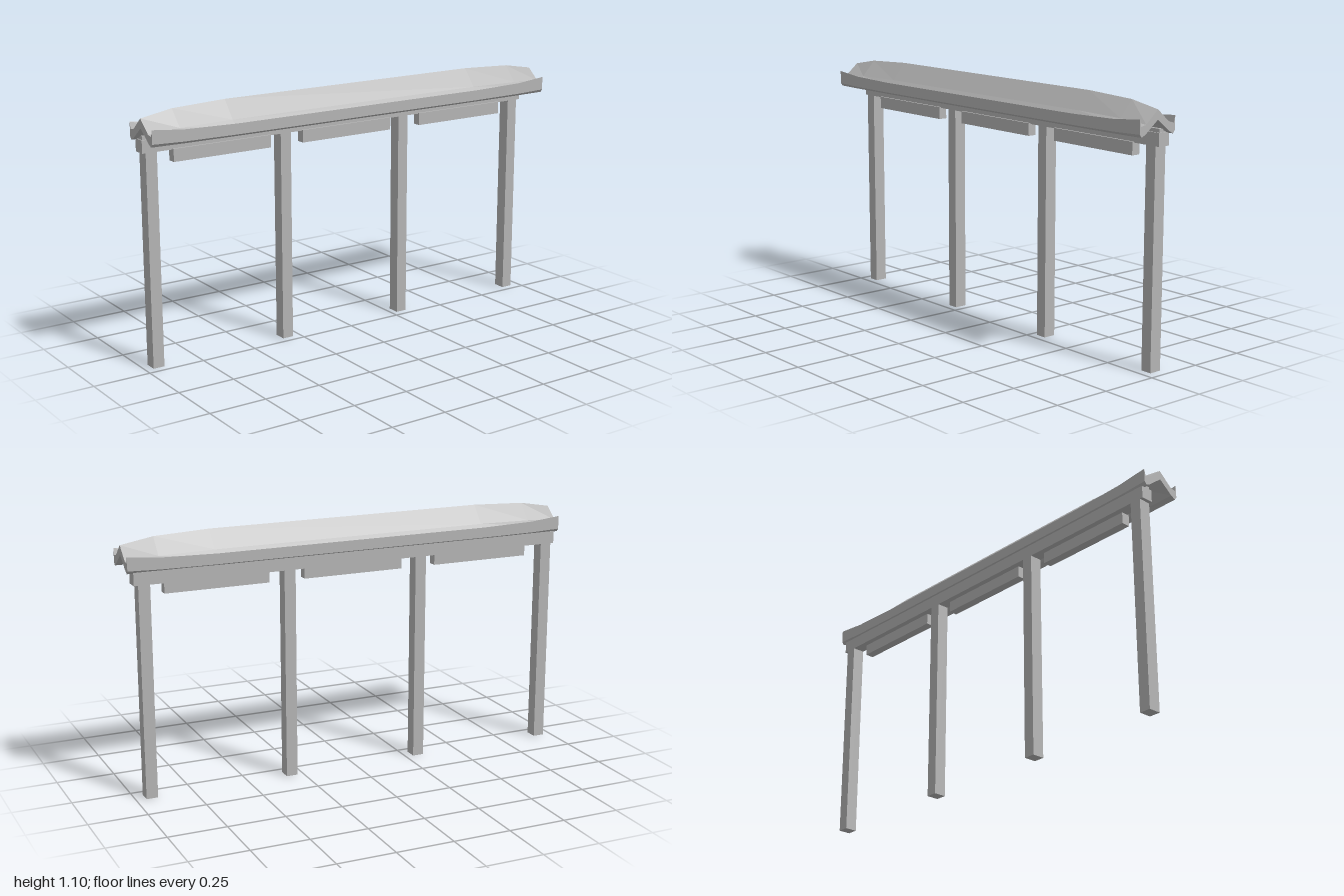
import * as THREE from 'three';

const grey = new THREE.MeshStandardMaterial({ color: 0xb4b4b4 });
grey.name = 'concreteGrey';

// Half cross-sections [z, y] from the ridge, over the gutter lip, to the underside ridge
const endHalf = [[0, 1.065], [0.062, 1.012], [0.088, 1.006], [0.095, 1.035],
  [0.095, 0.977], [0.085, 0.964], [0.064, 0.975], [0, 1.025]];
const midHalf = [[0, 1.1], [0.062, 1.025], [0.085, 1.002], [0.095, 1.015],
  [0.095, 0.97], [0.085, 0.962], [0.064, 0.975], [0, 1.055]];

// Full closed section, blended from end (t = 0) to middle (t = 1)
function section(t) {
  const half = endHalf.map(([z, y], i) => [
    THREE.MathUtils.lerp(z, midHalf[i][0], t),
    THREE.MathUtils.lerp(y, midHalf[i][1], t)]);
  const other = half.slice(1, -1).reverse().map(([z, y]) => [-z, y]);
  return [...half, ...other];
}

// Gull-wing roof lofted along x
function roofGeometry() {
  const stations = [[-1, 0], [-0.86, 0.7], [-0.62, 1], [0.62, 1], [0.86, 0.7], [1, 0]];
  const rings = stations.map(([x, t]) => section(t).map(([z, y]) => [x, y, z]));
  const pos = [];
  const tri = (a, b, c) => pos.push(...a, ...b, ...c);
  const n = rings[0].length;
  for (let k = 0; k < rings.length - 1; k++) {
    for (let i = 0; i < n; i++) {
      const j = (i + 1) % n;
      const p = rings[k], q = rings[k + 1];
      tri(p[i], p[j], q[j]);
      tri(p[i], q[j], q[i]);
    }
  }
  // End caps
  const outline = section(0).map(([z, y]) => new THREE.Vector2(-z, y));
  const first = rings[0], last = rings[rings.length - 1];
  for (const [a, b, c] of THREE.ShapeUtils.triangulateShape(outline, [])) {
    tri(last[a], last[b], last[c]);
    tri(first[a], first[c], first[b]);
  }
  const geo = new THREE.BufferGeometry();
  geo.setAttribute('position', new THREE.Float32BufferAttribute(pos, 3));
  geo.computeVertexNormals();
  return geo;
}

// Box given by its limits on each axis
function box(name, [x0, x1], [y0, y1], [z0, z1]) {
  const mesh = new THREE.Mesh(new THREE.BoxGeometry(x1 - x0, y1 - y0, z1 - z0), grey);
  mesh.position.set((x0 + x1) / 2, (y0 + y1) / 2, (z0 + z1) / 2);
  mesh.name = name;
  return mesh;
}

export function createModel() {
  const model = new THREE.Group();
  model.name = 'platformCanopy';

  const roof = new THREE.Mesh(roofGeometry(), grey);
  roof.name = 'roof';
  model.add(roof);

  // Beam and the bearing strip under the roof
  const depth = [-0.09, -0.035];
  model.add(box('beam', [-0.98, 0.975], [0.913, 0.967], depth));
  model.add(box('bearingStrip', [-0.975, 0.97], [0.967, 0.982], [-0.08, -0.042]));

  // Posts
  for (const x of [-0.94, -0.31, 0.302, 0.932]) {
    model.add(box('post', [x - 0.025, x + 0.025], [0, 0.913], depth));
  }

  // Hanging panels between the posts
  for (const x of [-0.617, -0.002, 0.613]) {
    model.add(box('hangingPanel', [x - 0.228, x + 0.228], [0.863, 0.917], [-0.065, -0.026]));
  }
  return model;
}
